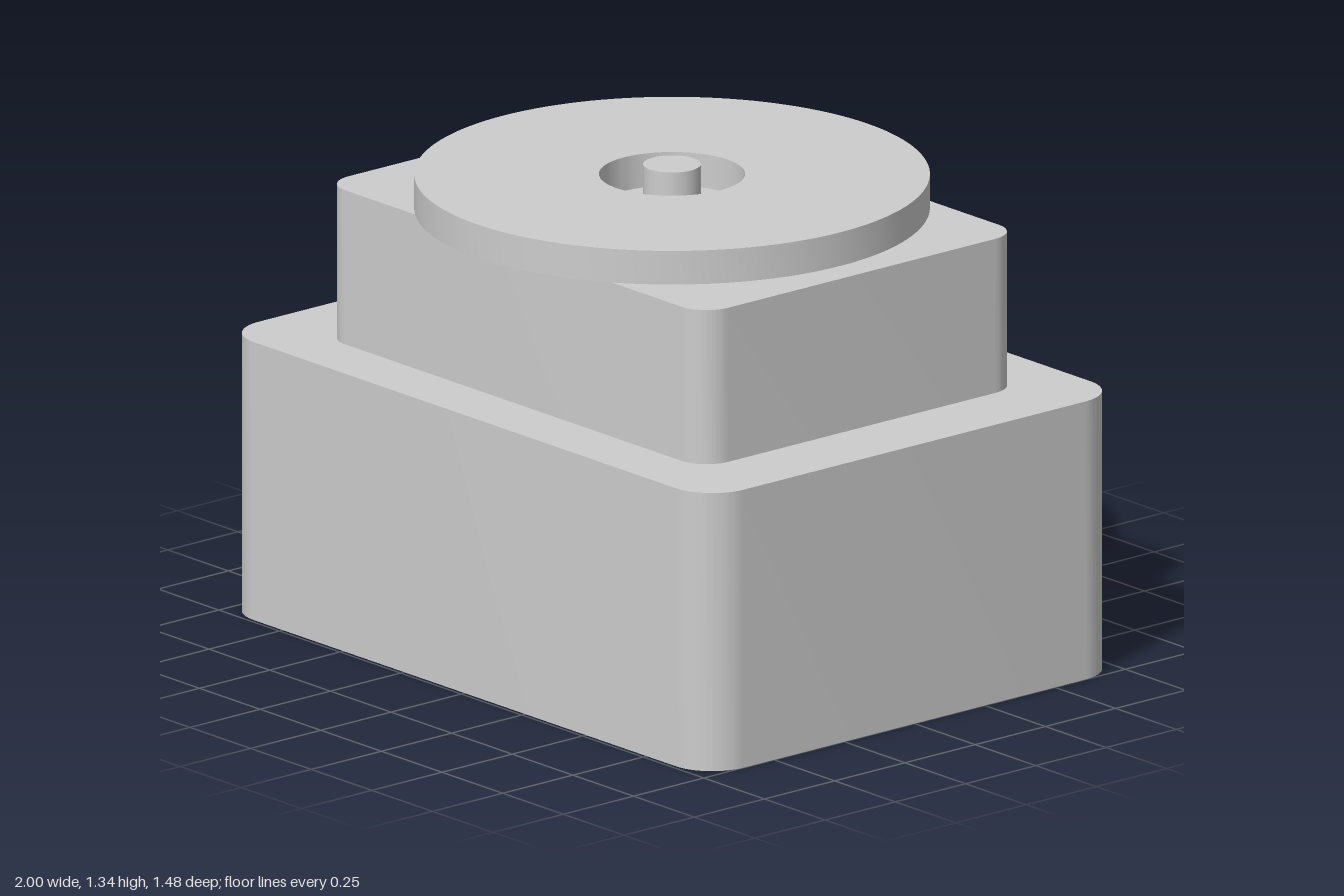
import * as THREE from 'three';
import { toCreasedNormals } from 'three/addons/utils/BufferGeometryUtils.js';

const grey = new THREE.MeshStandardMaterial({ color: 0xcccccc });
grey.name = 'light grey';

// Rounded rectangle outline centred on the origin
function roundedRect(hw, hd, r) {
  const s = new THREE.Shape();
  s.absarc(hw - r, hd - r, r, 0, Math.PI / 2);
  s.absarc(-hw + r, hd - r, r, Math.PI / 2, Math.PI);
  s.absarc(-hw + r, -hd + r, r, Math.PI, Math.PI * 1.5);
  s.absarc(hw - r, -hd + r, r, Math.PI * 1.5, Math.PI * 2);
  s.closePath();
  return s;
}

// Extrudes a plan outline upwards from y0 to y1
function slab(name, shape, y0, y1, curveSegments) {
  const flat = new THREE.ExtrudeGeometry(shape, { depth: y1 - y0, bevelEnabled: false, curveSegments });
  flat.rotateX(-Math.PI / 2).translate(0, y0, 0);
  const mesh = new THREE.Mesh(toCreasedNormals(flat, Math.PI / 5), grey);
  mesh.name = name;
  return mesh;
}

export function createModel() {
  const model = new THREE.Group();
  model.name = 'steppedBlockWithDisc';

  // Two stacked rounded blocks
  model.add(slab('baseBlock', roundedRect(1, 0.738, 0.13), 0, 0.785, 12));
  model.add(slab('upperBlock', roundedRect(0.783, 0.565, 0.09), 0.785, 1.22, 12));

  // Overhanging disc with a centre hole
  const ring = new THREE.Shape().absarc(0, 0, 0.695, 0, Math.PI * 2);
  ring.holes.push(new THREE.Path().absarc(0, 0, 0.197, 0, Math.PI * 2, true));
  model.add(slab('disc', ring, 1.22, 1.315, 64));

  // Pin standing in the hole
  const pin = new THREE.Mesh(new THREE.CylinderGeometry(0.078, 0.078, 0.123, 48), grey);
  pin.name = 'centrePin';
  pin.position.y = 1.2815;
  model.add(pin);

  return model;
}
